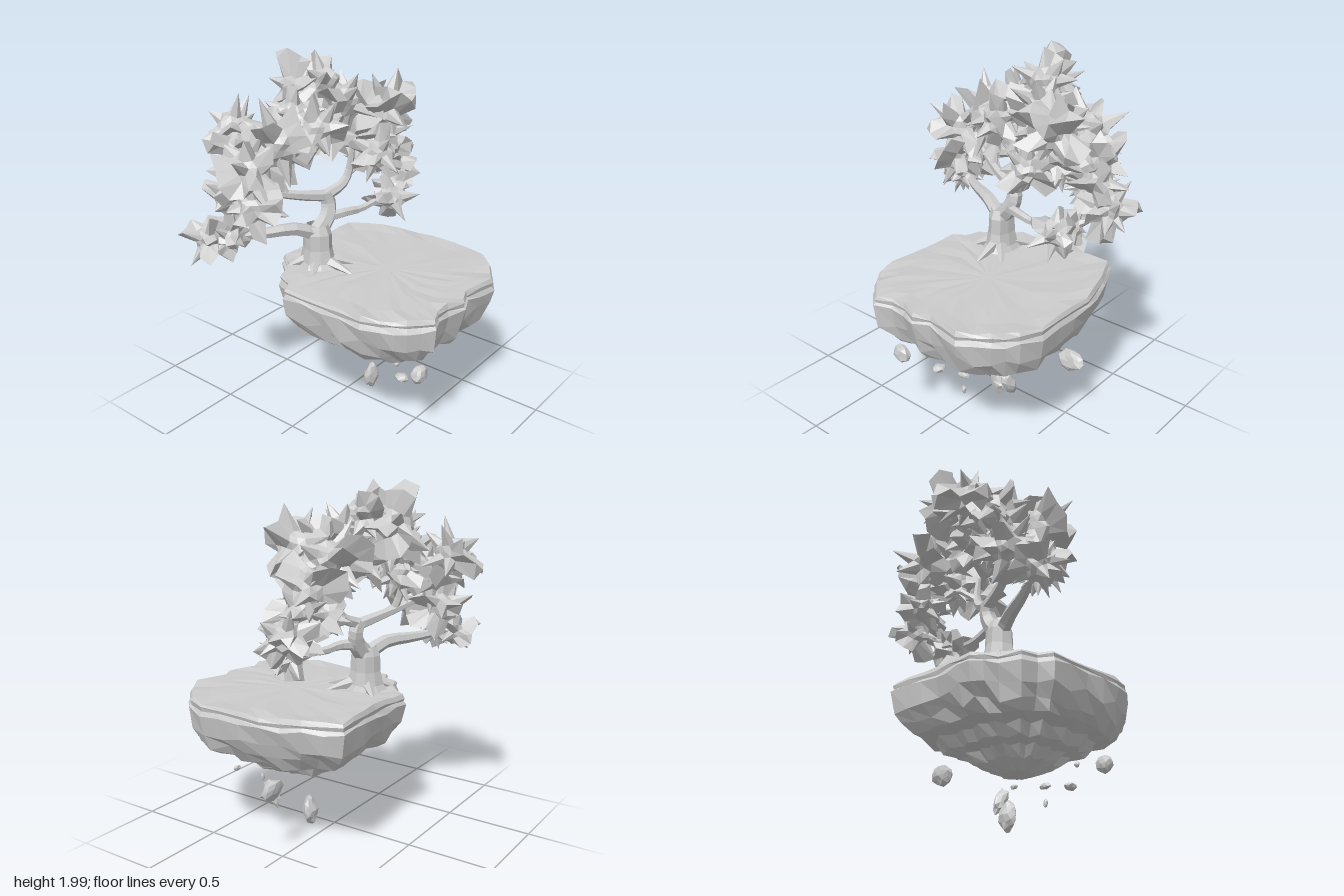
import * as THREE from 'three';

const material = new THREE.MeshStandardMaterial({ color: 0xcccccc, flatShading: true, side: THREE.DoubleSide });

function makeRandom(seed) {
  return () => {
    seed = (seed * 16807) % 2147483647;
    return seed / 2147483647;
  };
}

function addMesh(parent, name, geometry) {
  const mesh = new THREE.Mesh(geometry, material);
  mesh.name = name;
  parent.add(mesh);
  return mesh;
}

// Skins a list of closed rings that all have the same number of points
function loft(rings) {
  const n = rings[0].length;
  const index = [];
  for (let i = 0; i < rings.length - 1; i++) {
    for (let j = 0; j < n; j++) {
      const a = i * n + j, b = i * n + (j + 1) % n;
      index.push(a, b, a + n, b, b + n, a + n);
    }
  }
  const geometry = new THREE.BufferGeometry().setFromPoints(rings.flat());
  geometry.setIndex(index);
  geometry.computeVertexNormals();
  return geometry;
}

// Floating island: plan outline scaled about the tip, ring by ring
function buildIsland() {
  const outline = [
    [0.71, -0.14], [0.75, -0.05], [0.71, 0.05], [0.71, 0.14], [0.75, 0.23], [0.65, 0.34], [0.54, 0.42],
    [0.43, 0.45], [-0.09, 0.45], [-0.13, 0.37], [-0.22, 0.34], [-0.27, 0.22], [-0.39, 0.13], [-0.37, -0.15],
    [-0.4, -0.5], [-0.2, -0.59], [0.03, -0.65], [0.43, -0.65], [0.55, -0.6], [0.65, -0.5], [0.75, -0.35],
  ].map(([x, z]) => new THREE.Vector2(x, z));
  // Split long edges so that the facets stay about equal
  const plan = outline.flatMap((p, i) => {
    const next = outline[(i + 1) % outline.length];
    const parts = Math.ceil(p.distanceTo(next) / 0.135);
    return Array.from({ length: parts }, (_, k) => p.clone().lerp(next, k / parts));
  });
  const centre = new THREE.Vector2(0.2, -0.1);
  const random = makeRandom(77);
  // scale about the centre, height, side jitter, height jitter, rib depth
  const levels = [
    [0, 0.835, 0, 0, 0], [0.5, 0.835, 0, 0.004, 0], [0.8, 0.835, 0, 0.006, 0],
    [0.965, 0.835, 0, 0.01, 0], [0.985, 0.815, 0, 0.008, 0], [0.975, 0.795, 0, 0.008, 0],
    [1, 0.775, 0, 0.012, 0], [0.96, 0.67, 0.02, 0.03, 0], [0.89, 0.59, 0.02, 0.03, 0],
    [0.81, 0.54, 0.02, 0.015, 0.01], [0.66, 0.52, 0.015, 0.008, 0.03], [0.58, 0.46, 0.015, 0.008, 0.03],
    [0.43, 0.44, 0.012, 0.008, 0.03], [0.34, 0.39, 0.01, 0.006, 0.025], [0.15, 0.345, 0, 0, 0.012], [0, 0.345, 0, 0, 0],
  ];
  return loft(levels.map(([scale, y, side, lift, rib]) => plan.map((p, j) => {
    const s = scale + (random() - 0.5) * 2 * side + (j % 2 ? rib : -rib);
    const x = centre.x + (p.x - centre.x) * s;
    const z = centre.y + (p.y - centre.y) * s;
    return new THREE.Vector3(x, y + (random() - 0.5) * 2 * lift, z);
  })));
}

// Tapered limb along a curve
function buildLimb(points, startRadius, endRadius, sides = 6) {
  const curve = new THREE.CatmullRomCurve3(points.map((p) => new THREE.Vector3(...p)));
  const steps = points.length * 2;
  const geometry = new THREE.TubeGeometry(curve, steps, 1, sides);
  const position = geometry.attributes.position;
  const v = new THREE.Vector3();
  for (let i = 0; i <= steps; i++) {
    const c = curve.getPointAt(i / steps);
    const radius = THREE.MathUtils.lerp(startRadius, endRadius, i / steps);
    for (let j = 0; j <= sides; j++) {
      const k = i * (sides + 1) + j;
      v.fromBufferAttribute(position, k).sub(c).multiplyScalar(radius).add(c);
      position.setXYZ(k, v.x, v.y, v.z);
    }
  }
  geometry.computeVertexNormals();
  return geometry;
}

// Icosphere whose shared corners are moved in or out by one random rule
function buildJagged(detail, seed, rule) {
  const geometry = new THREE.IcosahedronGeometry(1, detail);
  const position = geometry.attributes.position;
  const random = makeRandom(seed);
  const radii = new Map();
  const v = new THREE.Vector3();
  for (let i = 0; i < position.count; i++) {
    v.fromBufferAttribute(position, i);
    const key = v.toArray().map((c) => Math.round(c * 100) + 0).join();
    if (!radii.has(key)) radii.set(key, rule(random));
    v.multiplyScalar(radii.get(key));
    position.setXYZ(i, v.x, v.y, v.z);
  }
  geometry.computeVertexNormals();
  return geometry;
}

export function createModel() {
  const model = new THREE.Group();
  addMesh(model, 'island', buildIsland());

  // Trunk with a flared foot
  const tree = new THREE.Group();
  tree.name = 'tree';
  model.add(tree);
  const trunkLevels = [[1.08, 0.06], [1.03, 0.08], [0.94, 0.083], [0.865, 0.1], [0.82, 0.13]];
  addMesh(tree, 'trunk', loft(trunkLevels.map(([y, r]) => Array.from({ length: 9 }, (_, j) => {
    const a = j / 9 * Math.PI * 2;
    const w = r * (j % 2 ? 0.92 : 1.06);
    return new THREE.Vector3(-0.14 + Math.cos(a) * w, y, 0.1 + Math.sin(a) * w * 0.9);
  }))));

  // Roots spreading over the ground
  for (const [dx, dz] of [[0.2, -0.02], [0.14, -0.12], [-0.12, -0.12], [-0.1, 0.1], [0.07, 0.12]]) {
    addMesh(tree, 'root', buildLimb([[-0.14 + dx * 0.4, 0.87, 0.1 + dz * 0.4],
      [-0.14 + dx * 0.8, 0.85, 0.1 + dz * 0.8], [-0.14 + dx * 1.2, 0.825, 0.1 + dz * 1.2]], 0.035, 0.008, 5));
  }

  // Branches: path, start radius, end radius
  const branches = [
    [[[-0.14, 1.02, 0.11], [-0.18, 1.08, 0.22], [-0.28, 1.09, 0.42], [-0.4, 1.11, 0.62]], 0.045, 0.018],
    [[[-0.14, 1.03, 0.09], [-0.13, 1.11, 0.02], [-0.14, 1.18, 0.0], [-0.15, 1.24, 0.02]], 0.055, 0.04],
    [[[-0.13, 1.1, 0.03], [-0.08, 1.11, -0.08], [-0.06, 1.1, -0.2], [-0.02, 1.14, -0.36]], 0.032, 0.015],
    [[[-0.15, 1.22, 0.01], [-0.2, 1.25, 0.15], [-0.28, 1.3, 0.32], [-0.34, 1.36, 0.46]], 0.035, 0.015],
    [[[-0.15, 1.22, 0.02], [-0.11, 1.27, -0.09], [-0.1, 1.33, -0.13], [-0.08, 1.48, -0.14]], 0.035, 0.015],
    [[[-0.1, 1.32, -0.12], [-0.14, 1.42, -0.25], [-0.16, 1.42, -0.42], [-0.16, 1.3, -0.6]], 0.02, 0.012],
    [[[-0.24, 1.28, 0.24], [-0.28, 1.4, 0.25], [-0.3, 1.55, 0.2], [-0.32, 1.75, 0.05]], 0.022, 0.012],
  ];
  for (const [points, r0, r1] of branches) addMesh(tree, 'branch', buildLimb(points, r0, r1));

  // Spiky leaf clumps: x, y, z, size
  const clumps = [
    [-0.42, 1.1, 0.64, 0.09], [-0.33, 1.12, 0.57, 0.07], [-0.22, 1.28, 0.5, 0.1], [-0.42, 1.28, 0.46, 0.11],
    [-0.55, 1.6, 0.3, 0.11], [-0.44, 1.54, 0.38, 0.1], [-0.24, 1.46, 0.5, 0.12], [-0.36, 1.46, 0.4, 0.12],
    [-0.25, 1.58, 0.28, 0.13], [-0.13, 1.62, 0.1, 0.11], [-0.28, 1.68, 0.12, 0.11], [-0.28, 1.48, 0.2, 0.09],
    [-0.4, 1.78, -0.04, 0.11], [-0.26, 1.82, -0.1, 0.11], [-0.16, 1.72, -0.16, 0.11], [-0.2, 1.58, -0.04, 0.1],
    [-0.02, 1.66, -0.36, 0.12], [-0.25, 1.62, -0.4, 0.12], [-0.12, 1.64, -0.28, 0.11], [0.04, 1.45, -0.22, 0.1],
    [-0.2, 1.5, -0.5, 0.12], [-0.08, 1.5, -0.32, 0.12], [-0.14, 1.27, -0.62, 0.1], [-0.16, 1.38, -0.53, 0.1],
    [-0.24, 1.34, -0.44, 0.09], [0.01, 1.12, -0.4, 0.09], [-0.03, 1.17, -0.47, 0.07],
  ];
  const leafRule = (random) => (random() < 0.28 ? 1.4 + random() * 0.65 : 0.72 + random() * 0.25);
  clumps.forEach(([x, y, z, size], i) => {
    const clump = addMesh(tree, 'leafClump', buildJagged(2, 991 + i * 77171, leafRule));
    clump.position.set(x, y, z);
    clump.rotation.set(i * 1.3, i * 0.7, i * 2.1);
    clump.scale.setScalar(size);
  });

  // Loose rocks drifting below: x, y, z, half sizes, tilt
  const rocks = [
    [0.11, 0.1, -0.09, 0.04, 0.09, 0.055, -0.1], [0.24, 0.24, -0.28, 0.04, 0.09, 0.04, -0.45],
    [0.44, 0.295, 0.07, 0.04, 0.025, 0.035, 0], [0.44, 0.235, -0.12, 0.013, 0.027, 0.013, 0],
    [0.44, 0.335, -0.12, 0.02, 0.02, 0.04, 0], [0.43, 0.375, -0.36, 0.014, 0.015, 0.03, 0],
    [0.44, 0.41, 0.12, 0.014, 0.018, 0.02, 0], [0.62, 0.44, 0.17, 0.035, 0.055, 0.06, 0.1],
    [0.03, 0.4, -0.54, 0.035, 0.06, 0.09, 0.2],
  ];
  rocks.forEach(([x, y, z, sx, sy, sz, tilt], i) => {
    const rock = addMesh(model, 'looseRock', buildJagged(1, 313 + i * 5003, (random) => 0.8 + random() * 0.3));
    rock.position.set(x, y, z);
    rock.rotation.z = tilt;
    rock.scale.set(sx, sy, sz);
  });
  return model;
}
